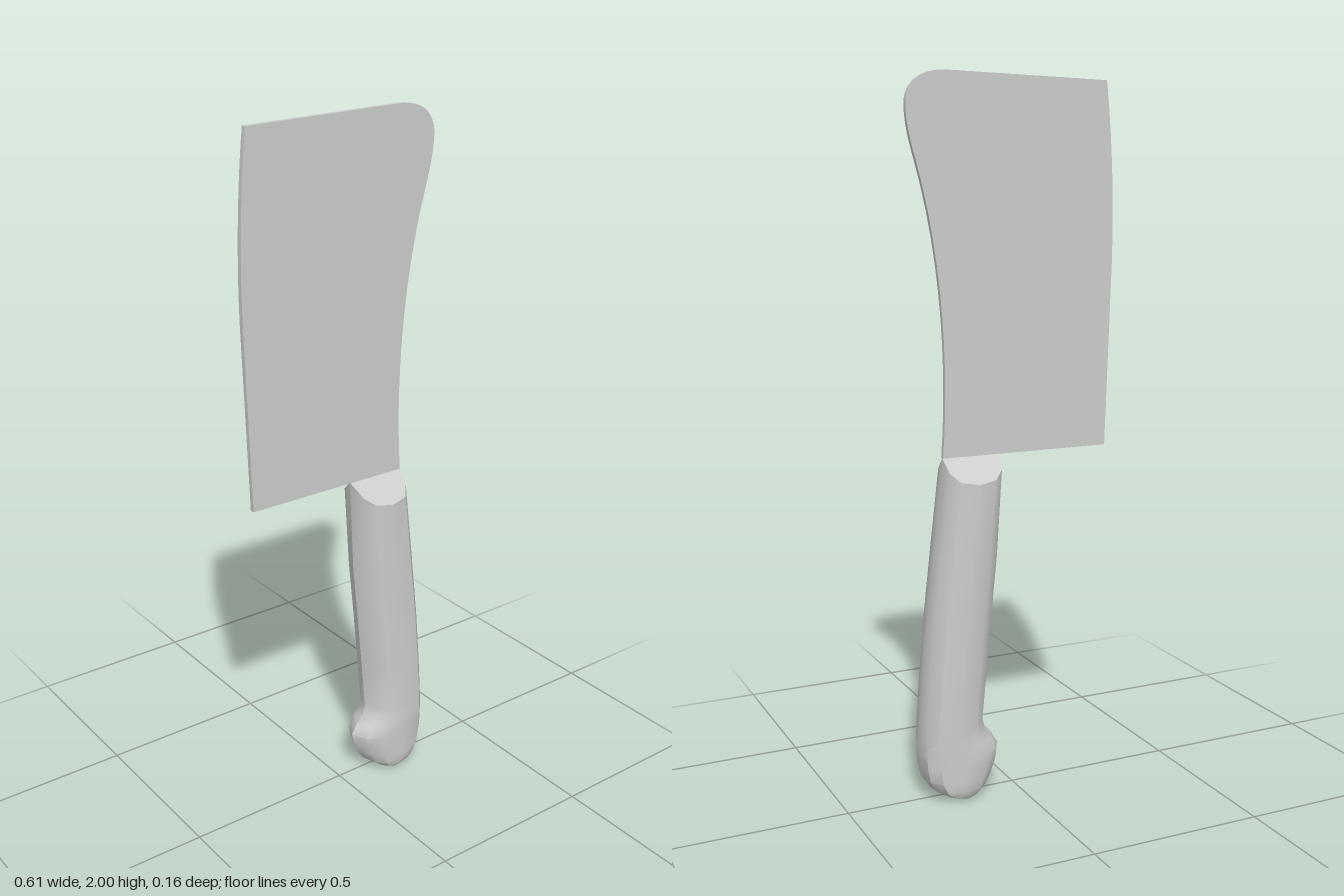
import * as THREE from 'three';
import { toCreasedNormals } from 'three/addons/utils/BufferGeometryUtils.js';

const material = new THREE.MeshStandardMaterial({ color: 0xcccccc });

// Thin flat blade with a gently curved edge and a swept, rounded spine
function bladeGeometry() {
  const s = new THREE.Shape();
  s.moveTo(-0.29, 0.975);
  s.lineTo(0.21, 0.975);
  s.bezierCurveTo(0.192, 1.2, 0.2, 1.5, 0.282, 1.78);
  s.bezierCurveTo(0.3, 1.84, 0.308, 1.89, 0.305, 1.925);
  s.bezierCurveTo(0.295, 1.98, 0.25, 2.0, 0.19, 2.0);
  s.lineTo(-0.285, 1.988);
  s.bezierCurveTo(-0.308, 1.8, -0.312, 1.6, -0.306, 1.45);
  s.closePath();
  const g = new THREE.ExtrudeGeometry(s, { depth: 0.014, bevelEnabled: false, curveSegments: 12 });
  g.translate(0, 0, -0.007);
  return toCreasedNormals(g, 0.6);
}

// Handle lofted from twelve-sided cross-sections, bottom to top
function handleGeometry() {
  // [y, left x, right x, thickness scale]
  const rows = [
    [0.003, 0.14, 0.19, 0.8], [0.012, 0.115, 0.225, 0.93], [0.03, 0.09, 0.255, 1],
    [0.06, 0.071, 0.276, 1], [0.1, 0.054, 0.285, 1], [0.13, 0.048, 0.287, 1],
    [0.16, 0.065, 0.287, 1], [0.185, 0.087, 0.286, 1], [0.22, 0.097, 0.284, 1],
    [0.35, 0.084, 0.275, 1], [0.5, 0.07, 0.262, 1], [0.7, 0.05, 0.239, 1],
    [0.975, 0.036, 0.21, 1],
  ];
  // One half of the section: [fraction across, half thickness]
  const half = [[0, 0], [0.09, 0.045], [0.25, 0.069], [0.54, 0.078], [0.84, 0.069], [0.97, 0.042], [1, 0]];
  const section = [...half, ...half.slice(1, -1).reverse().map(([u, z]) => [u, -z])];
  const n = section.length, last = rows.length - 1;
  const pos = [], index = [];
  rows.forEach(([y, l, r, k], j) => {
    for (const [u, z] of section) {
      // The top slopes down on both sides of the blade
      pos.push(l + (r - l) * u, j === last ? y - Math.abs(z) * 0.85 : y, z * k);
    }
  });
  for (let j = 0; j < last; j++) {
    for (let i = 0; i < n; i++) {
      const a = j * n + i, b = j * n + (i + 1) % n;
      index.push(a, b, b + n, a, b + n, a + n);
    }
  }
  // End caps
  const bottom = pos.length / 3, top = bottom + 1;
  pos.push(0.165, 0, 0, 0.123, 0.975, 0);
  for (let i = 0; i < n; i++) {
    const k = (i + 1) % n;
    index.push(bottom, k, i, top, last * n + i, last * n + k);
  }
  const g = new THREE.BufferGeometry();
  g.setAttribute('position', new THREE.Float32BufferAttribute(pos, 3));
  g.setIndex(index);
  return toCreasedNormals(g, 0.65);
}

export function createModel() {
  const group = new THREE.Group();
  group.name = 'cleaver';
  const add = (name, geometry) => {
    const mesh = new THREE.Mesh(geometry, material);
    mesh.name = name;
    group.add(mesh);
  };
  add('blade', bladeGeometry());
  add('handle', handleGeometry());
  return group;
}
